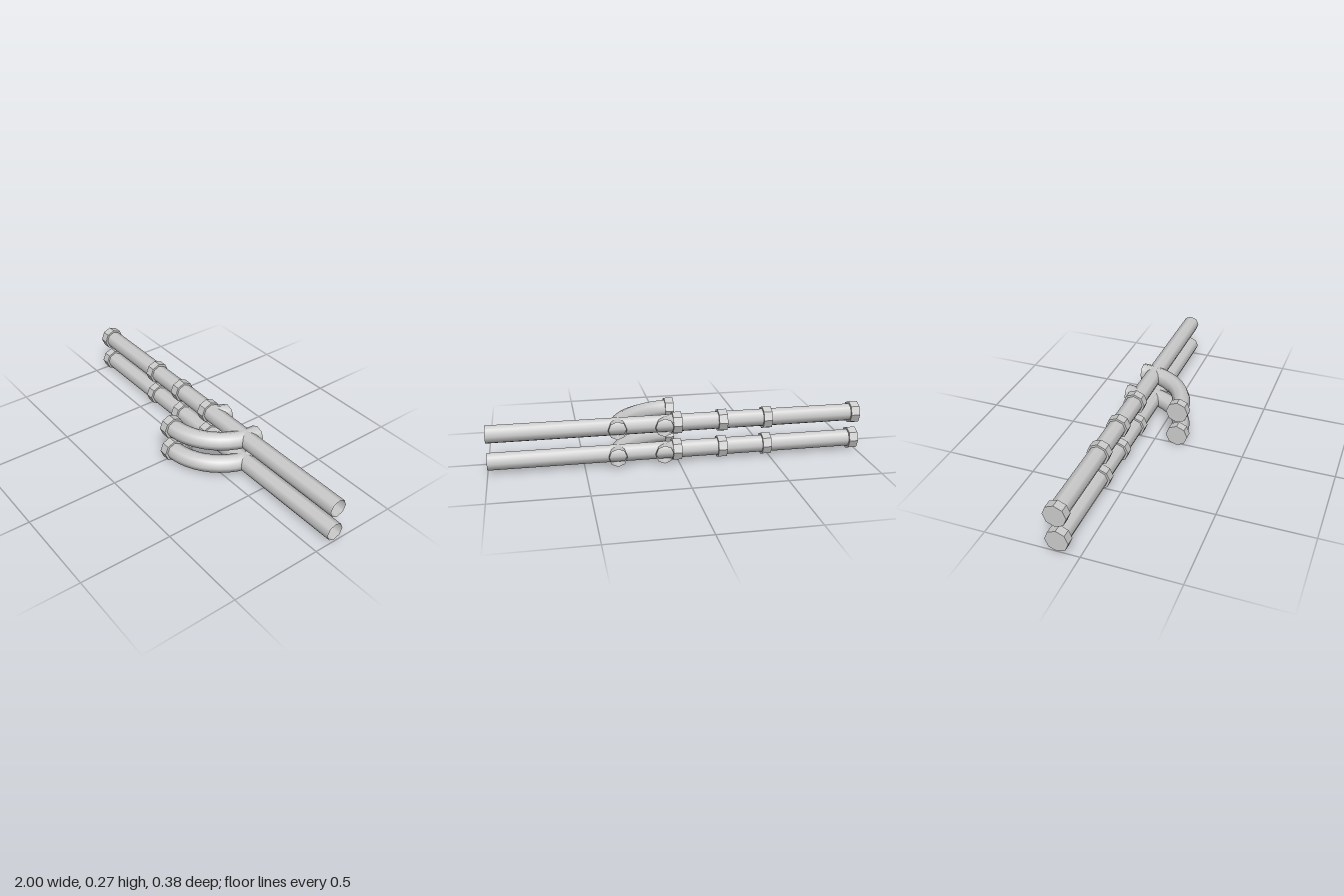
import * as THREE from 'three';

const SIDES = 8;
const PIPE_R = 0.049, COLLAR_R = 0.061, COLLAR_W = 0.047;
const MAIN_Z = -0.117;               // axis of the straight pipes
const BEND_X = 0.008, BEND_Z = -0.191; // shared centre of both bends

export function createModel() {
  const model = new THREE.Group();
  model.name = 'pipes';

  const pipeGrey = new THREE.MeshStandardMaterial({ color: 0xcccccc, side: THREE.DoubleSide });
  const collarGrey = new THREE.MeshStandardMaterial({ color: 0xcccccc, flatShading: true });

  const add = (parent, name, geometry, material, x, y, z) => {
    const mesh = new THREE.Mesh(geometry, material);
    mesh.name = name;
    mesh.position.set(x, y, z);
    parent.add(mesh);
  };

  // Shared shapes, all lying along x or in the xz plane
  const straight = new THREE.CylinderGeometry(PIPE_R, PIPE_R, 1.99, SIDES, 1, true).rotateZ(Math.PI / 2);
  const collar = new THREE.CylinderGeometry(COLLAR_R, COLLAR_R, COLLAR_W, SIDES).rotateZ(Math.PI / 2);
  const quarterBend = (radius, steps) =>
    new THREE.TorusGeometry(radius, PIPE_R, SIDES, steps, Math.PI / 2).rotateX(Math.PI / 2);
  const largeBend = quarterBend(0.321, 12);
  const smallBend = quarterBend(-BEND_Z + MAIN_Z, 8);

  // Two identical runs, one above the other
  for (const [name, y] of [['lowerRun', 0.061], ['upperRun', 0.211]]) {
    const run = new THREE.Group();
    run.name = name;
    add(run, 'straightPipe', straight, pipeGrey, 0.005, y, MAIN_Z);
    add(run, 'largeBend', largeBend, pipeGrey, BEND_X, y, BEND_Z);
    add(run, 'smallBend', smallBend, pipeGrey, BEND_X, y, BEND_Z);

    // Collars along the straight pipe and on the end of the large bend
    for (const x of [-1 + COLLAR_W / 2, -0.484, -0.238, BEND_X]) {
      add(run, 'collar', collar, collarGrey, x, y, MAIN_Z);
    }
    add(run, 'bendCollar', collar, collarGrey, BEND_X, y, BEND_Z + 0.321);
    model.add(run);
  }
  return model;
}
